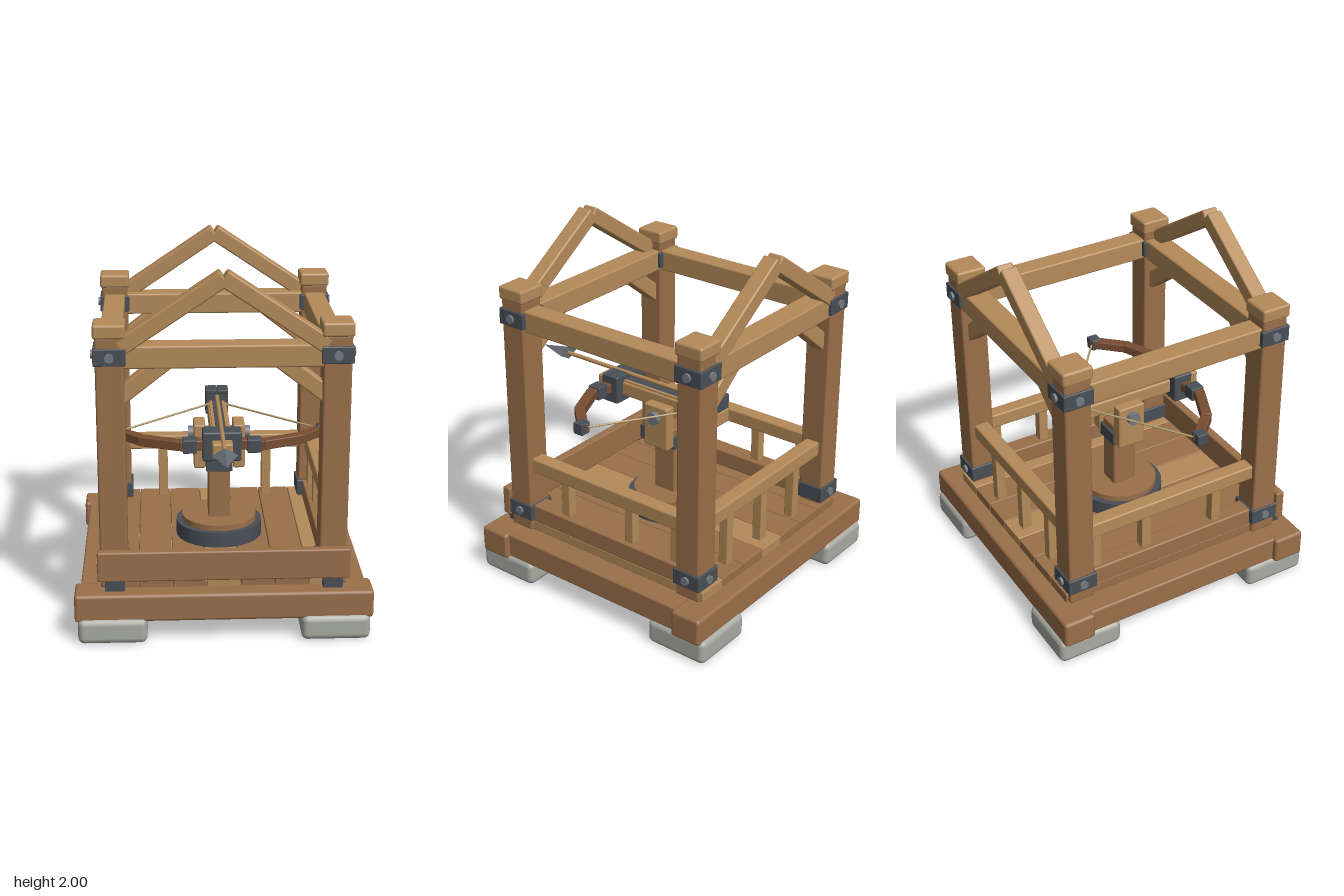
import * as THREE from 'three';
import { RoundedBoxGeometry } from 'three/addons/geometries/RoundedBoxGeometry.js';

const mat = (color, extra = {}) => new THREE.MeshStandardMaterial({ color, ...extra });
const BEVEL = 0.006; // the bevel adds this much to every block

export function createModel() {
  const model = new THREE.Group();
  const wood = mat(0x9a6f4a), pale = mat(0xb48a59), iron = mat(0x484f56);
  const stone = mat(0xa8aaa2), limbWood = mat(0x774d32), cord = mat(0xb09a6c);
  const steel = mat(0x737a80), steelFlat = mat(0x636a70, { flatShading: true });
  const ZC = -0.098; // middle of the frame in z

  function add(name, geometry, material, x = 0, y = 0, z = 0) {
    const mesh = new THREE.Mesh(geometry, material);
    mesh.name = name;
    mesh.position.set(x, y, z);
    model.add(mesh);
    return mesh;
  }
  // softly bevelled block: centre, then size
  const block = (name, m, [x, y, z], [w, h, d], r = 0.01) =>
    add(name, new RoundedBoxGeometry(w + BEVEL, h + BEVEL, d + BEVEL, 2, r), m, x, y, z);
  // block given by its limits on each axis
  const span = (name, m, x0, x1, y0, y1, z0, z1, r) =>
    block(name, m, [(x0 + x1) / 2, (y0 + y1) / 2, (z0 + z1) / 2], [x1 - x0, y1 - y0, z1 - z0], r);
  // upright cylinder, or one lying along x or z
  function rod(name, m, x, y, z, radius, length, axis = 'y', sides = 16) {
    const mesh = add(name, new THREE.CylinderGeometry(radius, radius, length, sides), m, x, y, z);
    if (axis === 'x') mesh.rotation.z = Math.PI / 2;
    if (axis === 'z') mesh.rotation.x = Math.PI / 2;
    return mesh;
  }
  // turn a mesh so that its local z runs from a to b
  function aim(mesh, a, b) {
    mesh.position.copy(a).lerp(b, 0.5);
    mesh.quaternion.setFromUnitVectors(new THREE.Vector3(0, 0, 1), b.clone().sub(a).normalize());
  }
  const V = (x, y, z) => new THREE.Vector3(x, y, z);

  // base frame
  for (const s of [-1, 1]) {
    block('baseCrossBeam', wood, [0, 0.2, ZC + s * 0.678], [1.598, 0.15, 0.176], 0.018);
    block('baseSideBeam', wood, [s * 0.68, 0.203, ZC], [0.178, 0.138, 1.3], 0.012);
    for (const t of [-1, 1])
      block('footStone', stone, [s * 0.6, 0.071, ZC + t * 0.603], [0.366, 0.136, 0.366], 0.035);
  }

  // deck
  for (let i = -3; i <= 3; i++)
    block('deckPlank', i === 0 || i === 3 ? pale : wood, [i * 0.1835, 0.303, ZC - 0.005], [0.174, 0.053, 1.335], 0.005);

  // corner posts with caps, iron collars and bolts
  for (const s of [-1, 1]) for (const t of [-1, 1]) {
    const x = s * 0.5875, z = ZC + t * 0.587;
    block('cornerPost', wood, [x, 0.97, z], [0.143, 1.38, 0.143], 0.012);
    block('postCap', pale, [x, 1.693, z], [0.162, 0.07, 0.162], 0.014);
    for (const y of [1.56, 0.392]) {
      block('ironCollar', iron, [x, y, z], [0.164, 0.086, 0.164], 0.006);
      rod('collarBolt', steel, x + s * 0.086, y, z, 0.024, 0.024, 'x', 12);
      rod('collarBolt', steel, x, y, z + t * 0.086, 0.024, 0.024, 'z', 12);
    }
  }

  // front sill board on iron feet
  span('frontSill', wood, -0.674, 0.674, 0.335, 0.498, 0.568, 0.614);
  for (const s of [-1, 1])
    block('sillFoot', iron, [s * 0.585, 0.305, 0.588], [0.1, 0.06, 0.046], 0.004);

  // top beams, gable rafters and corner braces
  for (const t of [-1, 1]) {
    const z = ZC + t * 0.587;
    block('topCrossBeam', pale, [0, 1.554, z], [1.06, 0.115, 0.126]);
    block('topSideBeam', pale, [t * 0.5875, 1.554, ZC], [0.113, 0.115, 1.06]);
    for (const s of [-1, 1]) {
      const rafter = block('gableRafter', pale, [s * 0.268, 1.783, ZC + t * 0.617], [0.645, 0.082, 0.084]);
      rafter.rotation.z = -s * 0.59;
      const brace = block('cornerBrace', pale, [s * 0.42, 1.426, z], [0.4, 0.083, 0.075]);
      brace.rotation.z = -s * 0.665;
    }
  }

  // side and rear railings
  const baluster = (x, z) => block('baluster', pale, [x, 0.49, z], [0.05, 0.34, 0.05], 0.005);
  for (const s of [-1, 1]) {
    block('sideSill', wood, [s * 0.59, 0.383, ZC], [0.1, 0.1, 1.05]);
    block('sideRail', pale, [s * 0.59, 0.683, ZC], [0.08, 0.08, 1.05]);
    for (const z of [0.19, -0.26, -0.568]) baluster(s * 0.59, z);
  }
  block('rearRail', pale, [0, 0.683, ZC - 0.587], [1.06, 0.08, 0.08]);
  for (const x of [-0.316, 0, 0.316]) baluster(x, ZC - 0.587);

  // turntable and pedestal
  const PZ = -0.067;
  rod('turntableRing', iron, 0, 0.375, PZ, 0.245, 0.09, 'y', 40);
  rod('turntableDisc', wood, 0, 0.391, PZ, 0.212, 0.122, 'y', 40);
  block('pedestal', wood, [0, 0.645, PZ], [0.118, 0.405, 0.132]);
  block('pedestalCollar', iron, [0, 0.769, PZ], [0.144, 0.074, 0.156], 0.005);

  // yoke with its axle
  for (const s of [-1, 1])
    block('yokeArm', pale, [s * 0.111, 0.879, PZ], [0.06, 0.25, 0.157]);
  rod('yokeAxle', steel, 0, 0.94, PZ, 0.037, 0.35, 'x', 20);

  // stock with its groove, nose block and trigger housing
  span('stock', pale, -0.053, 0.053, 0.954, 1.03, -0.422, 0.418);
  span('boltGroove', iron, -0.023, 0.023, 1.025, 1.04, -0.33, 0.34, 0.003);
  for (const s of [-1, 1])
    block('grooveRail', pale, [s * 0.036, 1.033, 0], [0.012, 0.016, 0.66], 0.003);
  span('noseBlock', iron, -0.103, 0.103, 0.914, 1.073, 0.24, 0.347);
  span('triggerHousing', iron, -0.063, 0.063, 0.963, 1.1, -0.415, -0.33);
  for (const s of [-1, 1])
    block('triggerCheek', iron, [s * 0.033, 1.1, -0.364], [0.058, 0.018, 0.098], 0.004);

  // bow limbs, clamps, tips and string
  for (const s of [-1, 1]) {
    const path = [[0.08, 0.305], [0.225, 0.325], [0.43, 0.235], [0.575, 0.085]].map(([x, z]) => V(s * x, 1, z));
    for (let i = 0; i < 3; i++) {
      const length = path[i].distanceTo(path[i + 1]) + 0.012;
      const limb = add('bowLimb', new RoundedBoxGeometry(0.058, 0.056 - i * 0.003, length, 2, 0.006), limbWood);
      aim(limb, path[i], path[i + 1]);
    }
    block('limbClamp', iron, [s * 0.174, 0.999, 0.322], [0.07, 0.07, 0.072], 0.006);
    block('limbTip', iron, [s * 0.57, 0.999, 0.1], [0.06, 0.062, 0.056], 0.006);
    const a = V(s * 0.565, 1.0, 0.083), b = V(s * 0.02, 1.03, -0.335);
    add('bowString', new THREE.TubeGeometry(new THREE.LineCurve3(a, b), 1, 0.006, 8), cord);
  }

  // bolt: shaft and flattened four-sided head
  rod('boltShaft', pale, 0, 1.07, 0.185, 0.012, 1.05, 'z', 10);
  const head = add('boltHead', new THREE.ConeGeometry(0.067, 0.19, 4), steelFlat, 0, 1.07, 0.789);
  head.rotation.x = Math.PI / 2;
  head.scale.z = 0.57;

  return model;
}
